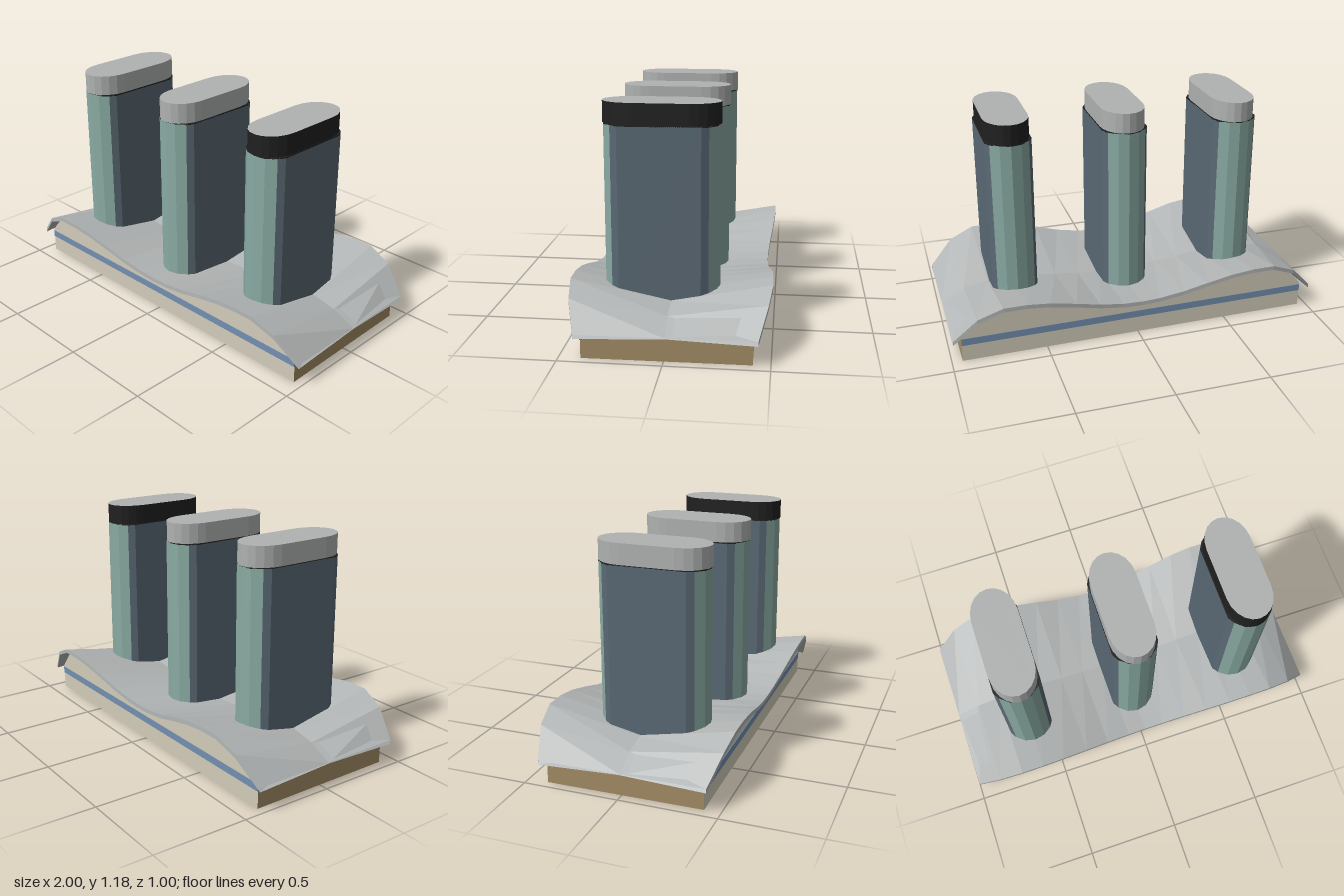
import * as THREE from 'three';

const mat = (name, color, side = THREE.FrontSide) => {
  const m = new THREE.MeshStandardMaterial({ color, side, flatShading: true });
  m.name = name;
  return m;
};

// Flat-shaded sheet between two equally long rows of [x, y, z] points
function sheet(a, b) {
  const pos = [];
  for (let i = 0; i < a.length - 1; i++) {
    pos.push(...a[i], ...a[i + 1], ...b[i + 1], ...a[i], ...b[i + 1], ...b[i]);
  }
  const g = new THREE.BufferGeometry();
  g.setAttribute('position', new THREE.Float32BufferAttribute(pos, 3));
  g.computeVertexNormals();
  return g;
}

export function createModel() {
  const both = THREE.DoubleSide;
  const roofGrey = mat('roof grey', 0xb4b7b7, both);
  const beige = mat('beige wall', 0xd2ccba, both);
  const brown = mat('brown wall', 0xa38c66, both);
  const stripeBlue = mat('stripe blue', 0x738fb0, both);
  const teal = mat('teal glass', 0x8aaba3, both);
  const slate = mat('slate side', 0x5a6974, both);
  const capGrey = mat('cap grey', 0xb0b2b2);
  const black = mat('black', 0x202020);

  const model = new THREE.Group();
  model.name = 'threeTowerBuilding';
  const add = (parent, name, geometry, material) => {
    const m = new THREE.Mesh(geometry, material);
    m.name = name;
    parent.add(m);
    return m;
  };

  // Podium sits very slightly turned against the towers
  const podium = new THREE.Group();
  podium.name = 'podium';
  podium.rotation.y = 0.0115;
  model.add(podium);

  // Roof stations: x and height of the outer edge, mirrored about x = 0
  const half = [[0, 0.21], [0.1, 0.215], [0.23, 0.237], [0.36, 0.272], [0.5, 0.305],
    [0.62, 0.32], [0.74, 0.32], [0.87, 0.265], [0.995, 0.135]];
  const stations = [...half.slice(1).reverse().map(([x, y]) => [-x, y]), ...half];
  const valley = (y) => 0.135 + (y - 0.135) * 0.46;
  const edgeZ = (y) => 0.43 + (y - 0.135) * 0.33;
  const row = (side, drop) => stations.map(([x, y]) =>
    [x, (side ? y : valley(y)) - drop, side * edgeZ(y)]);

  // Folded roof: upper skin, under skin and fascias
  const thick = 0.022;
  add(podium, 'roofBack', sheet(row(0, 0), row(-1, 0)), roofGrey);
  add(podium, 'roofFront', sheet(row(1, 0), row(0, 0)), roofGrey);
  add(podium, 'roofUnderBack', sheet(row(-1, thick), row(0, 0.004)), roofGrey);
  add(podium, 'roofUnderFront', sheet(row(0, 0.004), row(1, thick)), roofGrey);
  add(podium, 'fasciaFront', sheet(row(1, thick), row(1, 0)), roofGrey);
  add(podium, 'fasciaBack', sheet(row(-1, 0), row(-1, thick)), roofGrey);

  // Long walls rise to the underside of the roof
  const wallX = 0.95, wallZ = 0.405;
  const top = stations.slice(1, -1).map(([x, y]) =>
    [x, valley(y) + (y - valley(y)) * wallZ / edgeZ(y) - 0.02]);
  const outline = [[-wallX, 0], [wallX, 0], [wallX, 0.14], ...top.reverse(), [-wallX, 0.14]];
  const wallShape = new THREE.Shape(outline.map(([x, y]) => new THREE.Vector2(x, y)));
  for (const s of [1, -1]) {
    const end = s > 0 ? 'Front' : 'Back';
    const wall = add(podium, 'longWall' + end, new THREE.ShapeGeometry(wallShape), beige);
    wall.position.z = s * wallZ;
    if (s < 0) wall.rotation.y = Math.PI;
    const stripe = add(podium, 'stripe' + end, new THREE.BoxGeometry(wallX * 2, 0.038, 0.003), stripeBlue);
    stripe.position.set(0, 0.11, s * (wallZ + 0.002));
    // Low end walls
    const endWall = add(podium, 'endWall', new THREE.PlaneGeometry(wallZ * 2, 0.14), brown);
    endWall.position.set(s * wallX, 0.07, 0);
    endWall.rotation.y = s * Math.PI / 2;
  }

  // Tower plan pieces, centred on the tower axis
  const side = [[0.1, 0.235], [0.12, 0.2], [0.12, -0.2], [0.1, -0.235]];
  const nose = [[-0.1, 0.235], [-0.055, 0.272], [0, 0.285], [0.055, 0.272], [0.1, 0.235]];
  const turn = (pts) => pts.map(([x, z]) => [-x, -z]);
  const strip = (pts) => sheet(pts.map(([x, z]) => [x, 0.04, z]), pts.map(([x, z]) => [x, 1.07, z]));
  const plan = [...nose, ...side.slice(1), ...turn(nose).slice(1), ...turn(side).slice(1, -1)];
  const planShape = new THREE.Shape(plan.map(([x, z]) => new THREE.Vector2(x, -z)));

  // Rounded cap outline
  const capPoints = [];
  for (const s of [1, -1]) {
    for (let i = 0; i <= 10; i++) {
      const a = (i / 10) * Math.PI;
      capPoints.push(new THREE.Vector2(s * 0.117 * Math.cos(a), s * (0.14 + 0.148 * Math.sin(a))));
    }
  }
  const capShape = new THREE.Shape(capPoints);
  const slab = (shape, depth) =>
    new THREE.ExtrudeGeometry(shape, { depth, bevelEnabled: false }).rotateX(-Math.PI / 2);

  [-0.61, 0, 0.61].forEach((x, i) => {
    const tower = new THREE.Group();
    tower.name = 'tower' + (i + 1);
    tower.position.set(x, 0, 0.048);
    model.add(tower);
    add(tower, 'noseFront', strip(nose), teal);
    add(tower, 'noseBack', strip(turn(nose)), teal);
    add(tower, 'sideLeft', strip(side), slate);
    add(tower, 'sideRight', strip(turn(side)), slate);
    add(tower, 'towerTop', slab(planShape, 0.006), black).position.y = 1.067;
    add(tower, 'cap', slab(capShape, 0.105), [capGrey, i === 2 ? black : capGrey]).position.y = 1.073;
  });

  return model;
}
